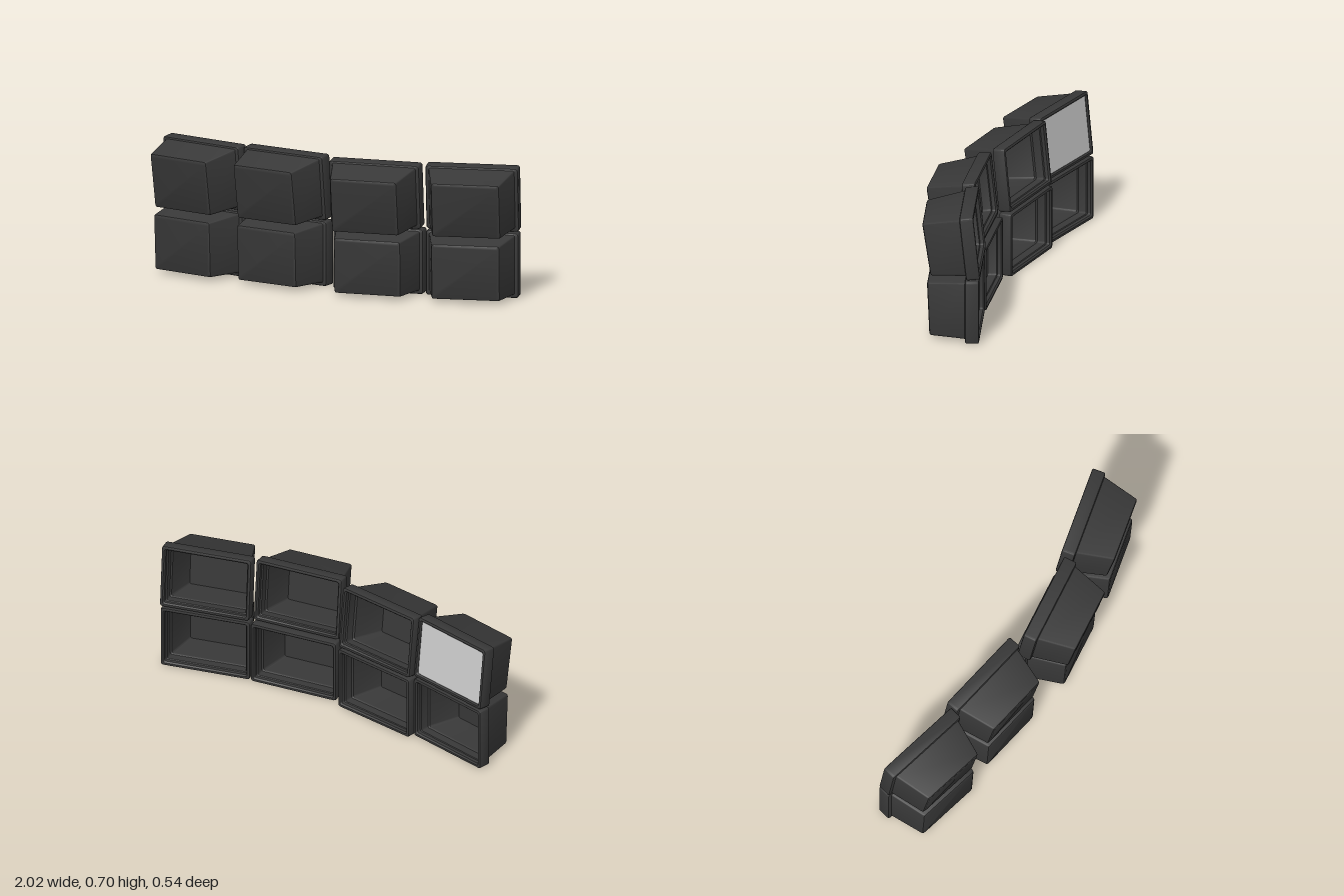
import * as THREE from 'three';
import { toCreasedNormals } from 'three/addons/utils/BufferGeometryUtils.js';

const casing = new THREE.MeshStandardMaterial({ color: 0x383838 });
const glass = new THREE.MeshStandardMaterial({ color: 0xcccccc });
const CORNER_STEPS = 3;

// Rounded-rectangle ring: half width, bottom, top, depth, corner radius, lean of the top edge
function ring([hw, y0, y1, z, r = 0.01, lean = 0]) {
  const corners = [[hw - r, y1 - r], [-hw + r, y1 - r], [-hw + r, y0 + r], [hw - r, y0 + r]];
  const points = [];
  corners.forEach(([cx, cy], k) => {
    for (let i = 0; i <= CORNER_STEPS; i++) {
      const a = (k + i / CORNER_STEPS) * Math.PI / 2;
      const y = cy + r * Math.sin(a);
      points.push([cx + r * Math.cos(a), y, z + lean * (2 * (y - y0) / (y1 - y0) - 1)]);
    }
  });
  return points;
}

// Skin a row of rings and close both ends
function loft(sections) {
  const rings = sections.map(ring);
  const n = rings[0].length;
  const positions = [];
  const index = [];
  rings.forEach(points => points.forEach(p => positions.push(...p)));
  for (let i = 0; i < rings.length - 1; i++) {
    for (let j = 0; j < n; j++) {
      const a = i * n + j, b = i * n + (j + 1) % n;
      index.push(a, b, a + n, b, b + n, a + n);
    }
  }
  const last = (rings.length - 1) * n;
  for (let j = 1; j < n - 1; j++) {
    index.push(0, j + 1, j);
    index.push(last, last + j, last + j + 1);
  }
  const geometry = new THREE.BufferGeometry();
  geometry.setAttribute('position', new THREE.Float32BufferAttribute(positions, 3));
  geometry.setIndex(index);
  return toCreasedNormals(geometry, 0.6);
}

// One hollow cabinet, from its inner floor out over the rim to the rear cap
const cabinetGeometry = loft([
  // hollow inside
  [0.165, 0.035, 0.295, 0.252],
  [0.208, 0.032, 0.315, 0.082],
  [0.216, 0.027, 0.319, 0.075],
  [0.216, 0.027, 0.319, 0.03],
  [0.223, 0.023, 0.322, 0.026],
  [0.224, 0.022, 0.323, 0.008],
  // screen rim
  [0.231, 0.015, 0.330, 0, 0.012],
  [0.239, 0.006, 0.339, 0, 0.012],
  [0.243, 0.002, 0.343, 0.002, 0.013],
  [0.245, 0, 0.345, 0.007, 0.014],
  [0.245, 0, 0.345, 0.064, 0.014],
  [0.242, 0.003, 0.342, 0.070, 0.013],
  [0.237, 0.008, 0.338, 0.072, 0.012],
  // tapered rear housing
  [0.226, 0.018, 0.334, 0.074],
  [0.224, 0.020, 0.332, 0.080],
  [0.181, 0.020, 0.314, 0.256, 0.01, 0.006],
  [0.178, 0.022, 0.311, 0.264, 0.01, 0.006],
  [0.170, 0.030, 0.303, 0.268, 0.01, 0.006],
]);

export function createModel() {
  const model = new THREE.Group();
  model.name = 'monitorWall';

  // column: x, yaw in degrees, z of lower and upper cabinets
  const columns = [
    [-0.75, -10, -0.131, -0.131],
    [-0.26, -6, -0.1, -0.097],
    [0.26, 10, -0.085, -0.06],
    [0.745, 16.6, -0.193, -0.2],
  ];
  // row: height and pitch in degrees
  const rows = [{ name: 'lower', y: 0, pitch: 0 }, { name: 'upper', y: 0.358, pitch: 6.1 }];

  columns.forEach(([x, yaw, ...depths], c) => {
    rows.forEach(({ name, y, pitch }, r) => {
      const monitor = new THREE.Group();
      monitor.name = `${name}Monitor${c + 1}`;
      monitor.position.set(x, y, depths[r]);
      monitor.rotation.set(THREE.MathUtils.degToRad(pitch), THREE.MathUtils.degToRad(yaw), 0, 'YXZ');

      const cabinet = new THREE.Mesh(cabinetGeometry, casing);
      cabinet.name = 'cabinet';
      monitor.add(cabinet);

      // only the upper end monitor keeps its screen
      if (c === 0 && r === 1) {
        const screen = new THREE.Mesh(new THREE.PlaneGeometry(0.446, 0.3), glass);
        screen.name = 'screen';
        screen.rotation.y = Math.PI;
        screen.position.set(0, 0.1725, 0.009);
        monitor.add(screen);
      }
      model.add(monitor);
    });
  });
  return model;
}
